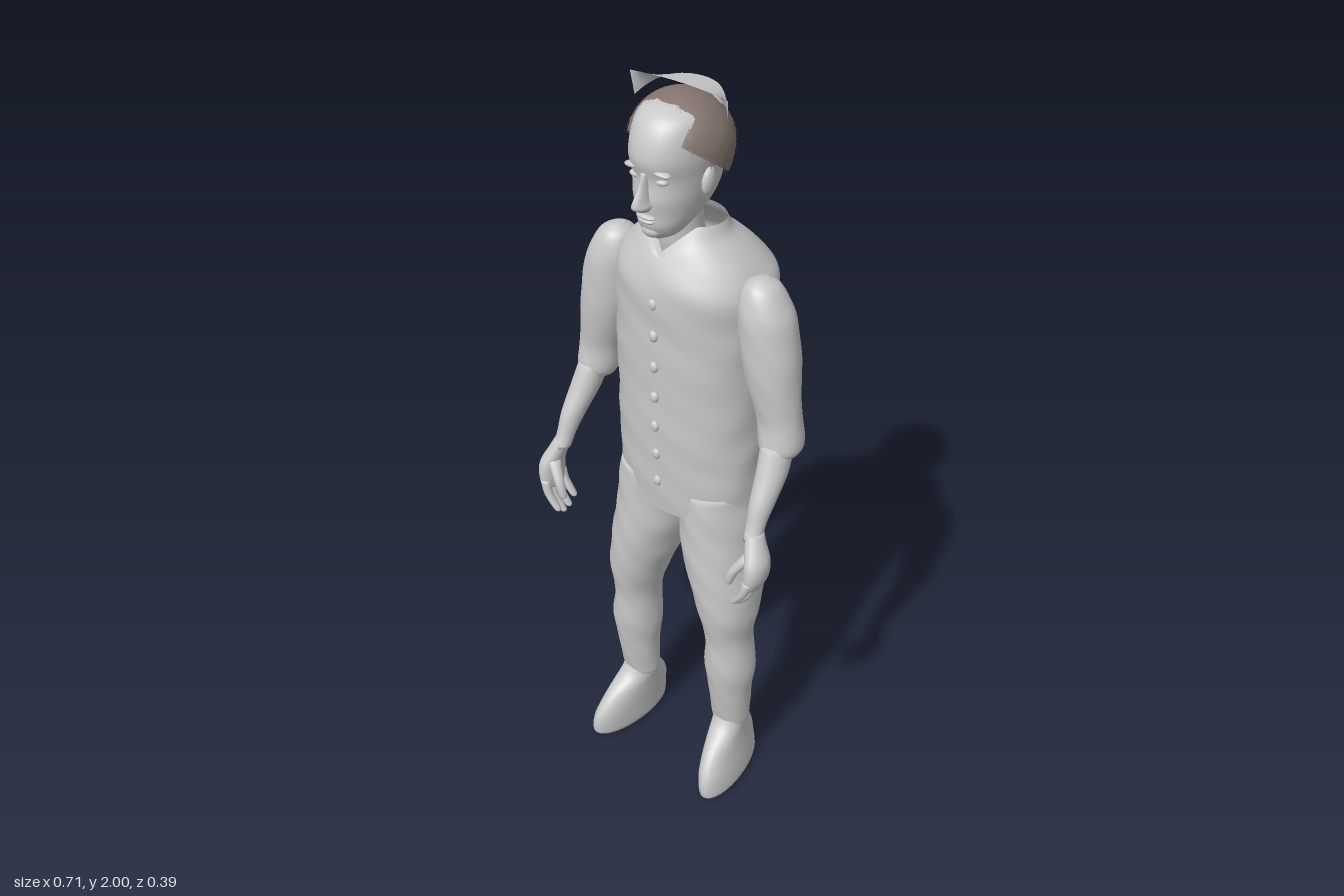
import * as THREE from 'three';
import { mergeVertices } from 'three/addons/utils/BufferGeometryUtils.js';

const grey = new THREE.MeshStandardMaterial({ name: 'plain grey', color: 0xc8c8c8, side: THREE.DoubleSide });
const brown = new THREE.MeshStandardMaterial({ name: 'hair brown', color: 0x83746d, side: THREE.DoubleSide });

// Smooth surface from fn(u, v) -> [x, y, z]
function grid(nu, nv, fn) {
  const pos = [], index = [];
  for (let j = 0; j <= nv; j++) {
    for (let i = 0; i <= nu; i++) {
      pos.push(...fn(i / nu, j / nv));
      if (i === nu || j === nv) continue;
      const a = j * (nu + 1) + i, c = a + nu + 1;
      index.push(a, a + 1, c, a + 1, c + 1, c);
    }
  }
  let geo = new THREE.BufferGeometry();
  geo.setAttribute('position', new THREE.Float32BufferAttribute(pos, 3));
  geo.setIndex(index);
  geo = mergeVertices(geo, 1e-5);
  geo.computeVertexNormals();
  return geo;
}

// Loft through horizontal rings [x, y, z, rx, rz], listed bottom to top
function loft(rings, { seg = 24, sub = 5, power = 2, closed = true, fold = 0, warp } = {}) {
  const centre = new THREE.CatmullRomCurve3(rings.map(r => new THREE.Vector3(r[0], r[1], r[2])), false, 'catmullrom', 0.5);
  const size = new THREE.CatmullRomCurve3(rings.map(r => new THREE.Vector3(r[3], r[4], 0)), false, 'catmullrom', 0.5);
  const n = (rings.length - 1) * sub, rows = closed ? n + 2 : n;
  const round = s => Math.sign(s) * Math.abs(s) ** (2 / power);
  return grid(seg, rows, (u, v) => {
    const row = Math.round(v * rows) - (closed ? 1 : 0);
    const t = THREE.MathUtils.clamp(row / n, 0, 1);
    const end = row < 0 || row > n ? 0 : 1;
    const c = centre.getPoint(t), s = size.getPoint(t);
    const a = (u % 1) * Math.PI * 2;
    const k = end * (1 + fold * Math.sin(c.y * 47 + 2 * Math.sin(a * 2)) * Math.cos(a * 3 + c.y * 13));
    const p = new THREE.Vector3(
      c.x + s.x * k * round(Math.sin(a)), c.y, c.z + s.y * k * round(Math.cos(a)));
    if (warp) warp(p, t, a);
    return p.toArray();
  });
}

function add(parent, name, geo, mat = grey) {
  const mesh = new THREE.Mesh(geo, mat);
  mesh.name = name;
  parent.add(mesh);
  return mesh;
}

function blob(parent, name, [x, y, z], [rx, ry, rz]) {
  const mesh = add(parent, name, new THREE.SphereGeometry(1, 16, 10));
  mesh.position.set(x, y, z);
  mesh.scale.set(rx, ry, rz);
  return mesh;
}

function makeTorso(g) {
  // Shirt, open at hem and neck, with a notch at the front of the collar
  add(g, 'shirt', loft([
    [0.003, 0.905, -0.01, 0.193, 0.13], [0.002, 1.05, -0.012, 0.193, 0.14],
    [0, 1.2, -0.016, 0.192, 0.146], [0, 1.4, -0.016, 0.193, 0.148],
    [0.003, 1.5, -0.023, 0.196, 0.157], [0.003, 1.55, -0.028, 0.192, 0.16],
    [0, 1.59, -0.02, 0.17, 0.14], [0, 1.63, -0.012, 0.132, 0.112],
    [0, 1.66, -0.005, 0.104, 0.085], [0, 1.69, -0.005, 0.09, 0.067],
  ], {
    seg: 64, sub: 6, power: 2.2, closed: false, fold: 0.012,
    warp(p, t) {
      const notch = p.z > 0 ? Math.max(0, 1 - Math.abs(p.x) / 0.06) : 0;
      const k = notch * THREE.MathUtils.smoothstep(p.y, 1.6, 1.69);
      p.y -= 0.06 * k;
      p.z += 0.035 * k;
    },
  }));
  // Button bumps down the front, matching folds down the spine
  for (let i = 0; i < 7; i++) {
    const y = 1.0 + i * 0.085;
    blob(g, 'shirtButton', [0, y, 0.124 + 0.004 * Math.min(i, 2)], [0.012, 0.015, 0.009]);
    blob(g, 'backFold', [0, y, -0.148 - 0.005 * Math.min(i, 4)], [0.016, 0.022, 0.009]);
  }
}

function makeLeg(g, s) {
  const o = s > 0 ? 0.006 : 0;
  const place = rings => rings.map(([x, ...r]) => [s * x + o, ...r]);
  add(g, 'trouserLeg', loft(place([
    [0.155, 0.185, 0.017, 0.052, 0.047], [0.156, 0.21, 0.018, 0.055, 0.05],
    [0.157, 0.3, 0.025, 0.058, 0.06], [0.157, 0.4, 0.026, 0.068, 0.072],
    [0.152, 0.5, 0.028, 0.06, 0.072], [0.145, 0.6, 0.022, 0.078, 0.092],
    [0.125, 0.7, 0.008, 0.094, 0.113], [0.104, 0.8, 0, 0.101, 0.118],
    [0.096, 0.9, -0.005, 0.098, 0.122], [0.092, 0.98, -0.005, 0.088, 0.115],
  ]), { seg: 32, fold: 0.018 }));
  // Shoe with the toe turned slightly outward
  add(g, 'shoe', loft(place([
    [0.172, 0, 0.055, 0.046, 0.125], [0.173, 0.015, 0.055, 0.052, 0.135],
    [0.169, 0.06, 0.055, 0.05, 0.133], [0.164, 0.1, 0.046, 0.047, 0.122],
    [0.16, 0.14, 0.036, 0.045, 0.096], [0.157, 0.175, 0.024, 0.045, 0.06],
    [0.155, 0.21, 0.018, 0.044, 0.042],
  ]), { seg: 32, warp: p => { p.x += s * 0.12 * (p.z - 0.03); p.y = Math.max(0, p.y); } }));
}

function makeArm(g, s) {
  const o = s > 0 ? 0.015 : 0;
  const place = rings => rings.map(([x, y, ...r]) => [s * x + o * THREE.MathUtils.smoothstep(y, 1, 1.2), y, ...r]);
  add(g, 'sleeve', loft(place([
    [0.272, 1.168, 0.022, 0.046, 0.042], [0.271, 1.19, 0.017, 0.054, 0.057],
    [0.263, 1.25, 0.015, 0.055, 0.053], [0.25, 1.31, 0.016, 0.06, 0.057],
    [0.232, 1.4, 0.014, 0.071, 0.067], [0.216, 1.5, 0.012, 0.069, 0.067],
    [0.206, 1.55, 0.012, 0.058, 0.058], [0.2, 1.585, 0.013, 0.04, 0.042],
    [0.198, 1.602, 0.014, 0.012, 0.016],
  ]), { seg: 28, fold: 0.015 }));
  add(g, 'forearm', loft(place([
    [0.3, 0.98, 0.14, 0.022, 0.024], [0.297, 1.02, 0.122, 0.024, 0.027],
    [0.292, 1.07, 0.096, 0.03, 0.038], [0.283, 1.13, 0.06, 0.036, 0.045],
    [0.272, 1.2, 0.03, 0.038, 0.045],
  ])));
  add(g, 'palm', loft(place([
    [0.322, 0.86, 0.158, 0.018, 0.036], [0.326, 0.89, 0.157, 0.025, 0.042],
    [0.325, 0.93, 0.154, 0.027, 0.04], [0.311, 0.97, 0.143, 0.024, 0.03],
    [0.3, 1.0, 0.133, 0.022, 0.024],
  ])));
  // Four curled fingers and a thumb
  for (let i = 0; i < 4; i++) {
    const z = 0.125 + i * 0.021, tip = [0.81, 0.79, 0.785, 0.8][i];
    add(g, 'finger', loft(place([
      [0.284, tip, z, 0.005, 0.005], [0.288, tip + 0.008, z, 0.01, 0.01],
      [0.312, tip + 0.045, z + 0.002, 0.012, 0.012], [0.324, 0.885, z, 0.014, 0.012],
    ]), { seg: 10, sub: 4 }));
  }
  add(g, 'thumb', loft(place([
    [0.264, 0.85, 0.186, 0.005, 0.005], [0.266, 0.86, 0.186, 0.011, 0.01],
    [0.28, 0.9, 0.183, 0.014, 0.013], [0.31, 0.945, 0.165, 0.017, 0.017],
  ]), { seg: 12, sub: 4 }));
}

function makeHead(g) {
  add(g, 'neck', loft([
    [0, 1.58, 0.01, 0.07, 0.06], [0, 1.64, 0.025, 0.058, 0.058],
    [0, 1.69, 0.032, 0.053, 0.055], [0, 1.77, 0.035, 0.055, 0.06],
  ]));
  add(g, 'head', loft([
    [0, 1.675, 0.1, 0.015, 0.02], [0, 1.69, 0.09, 0.042, 0.045],
    [0, 1.715, 0.072, 0.058, 0.078], [0, 1.745, 0.052, 0.07, 0.1],
    [0, 1.78, 0.04, 0.079, 0.116], [0, 1.825, 0.036, 0.085, 0.116],
    [0, 1.87, 0.034, 0.09, 0.128], [0, 1.92, 0.03, 0.088, 0.12],
    [0, 1.955, 0.03, 0.075, 0.095], [0, 1.975, 0.03, 0.04, 0.055],
  ], { seg: 36, power: 2.15 }));
  add(g, 'nose', loft([
    [0, 1.758, 0.155, 0.012, 0.015], [0, 1.77, 0.158, 0.019, 0.033],
    [0, 1.785, 0.158, 0.014, 0.034], [0, 1.815, 0.15, 0.009, 0.022], [0, 1.845, 0.146, 0.009, 0.015],
  ], { seg: 16 }));
  blob(g, 'upperLip', [0, 1.741, 0.15, ], [0.026, 0.006, 0.012]);
  blob(g, 'lowerLip', [0, 1.73, 0.147], [0.022, 0.007, 0.013]);
  blob(g, 'chin', [0, 1.702, 0.13], [0.026, 0.018, 0.02]);
  for (const s of [-1, 1]) {
    blob(g, 'eye', [s * 0.034, 1.828, 0.138], [0.017, 0.008, 0.012]);
    blob(g, 'brow', [s * 0.036, 1.85, 0.142], [0.026, 0.007, 0.014]).rotation.z = -s * 0.12;
    blob(g, 'ear', [s * 0.088, 1.81, 0.045], [0.012, 0.032, 0.02]).rotation.x = -0.2;
  }
}

function makeHair(g) {
  // Cap of hair: short over the brow, longer at the nape
  const hair = (a, v) => {
    const back = (1 - Math.cos(a)) / 2;
    const phi = v * (1.13 + 0.95 * Math.sin(back * Math.PI / 2) ** 1.2 + 0.3 * back);
    const r = phi < Math.PI / 2 ? Math.sin(phi) : Math.sin(phi) ** 0.55;
    return [0.117 * r * Math.sin(a), 1.875 + 0.112 * Math.cos(phi), 0.026 + 0.118 * r * Math.cos(a)];
  };
  add(g, 'hairCap', grid(40, 16, (u, v) => hair((u % 1) * Math.PI * 2, 1 - v)), brown);

  // Short stray strands, thin blades standing just off the cap
  let seed = 7;
  const rnd = () => (seed = (seed * 16807) % 2147483647) / 2147483647;
  const pos = [];
  for (let i = 0; i < 260; i++) {
    const a = rnd() * Math.PI * 2, v = 0.3 + 0.7 * rnd();
    const p = hair(a, v), q = hair(a + 0.035, v), tip = hair(a + rnd() * 0.5 - 0.25, v + 0.12);
    const lift = 1.03 + 0.06 * rnd();
    pos.push(...p, ...q, tip[0] * lift, Math.min(1.995, tip[1]), 0.026 + (tip[2] - 0.026) * lift);
  }
  const strands = new THREE.BufferGeometry();
  strands.setAttribute('position', new THREE.Float32BufferAttribute(pos, 3));
  strands.computeVertexNormals();
  add(g, 'hairStrands', strands, brown);

  // Pale crescent band across the crown, its ends flaring over the temples
  add(g, 'crownBand', grid(24, 4, (u, v) => {
    const t = u * 2 - 1, w = t * t;
    const front = [0.13 * t, 2, 0.024 + 0.014 * w];
    const rear = [0.125 * t, 1.988 - 0.045 * w * w, -0.055 + 0.085 * w];
    return front.map((f, k) => f + (rear[k] - f) * v);
  }));
}

export function createModel() {
  const model = new THREE.Group();
  model.name = 'standingMan';
  const part = (name, build, ...args) => {
    const g = new THREE.Group();
    g.name = name;
    build(g, ...args);
    model.add(g);
  };
  part('torso', makeTorso);
  part('headAndNeck', makeHead);
  part('hair', makeHair);
  for (const [name, s] of [['left', 1], ['right', -1]]) {
    part(name + 'Leg', makeLeg, s);
    part(name + 'Arm', makeArm, s);
  }
  return model;
}
